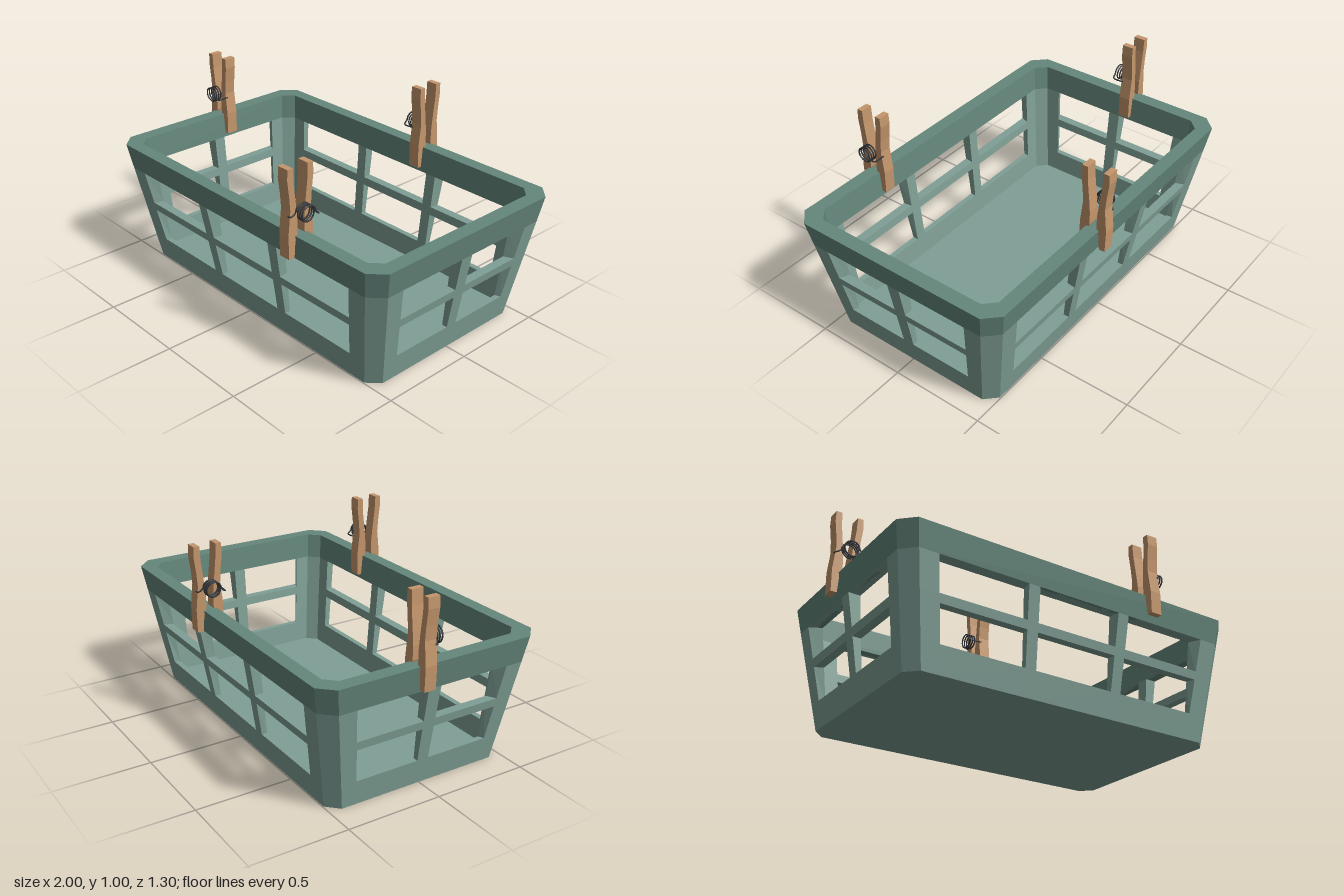
import * as THREE from 'three';

const HEIGHT = 0.67, RIM_Y = 0.535, CENTRE_X = 0.02;
const lerp = THREE.MathUtils.lerp;
const paint = (color) => new THREE.MeshStandardMaterial({ color, flatShading: true });

// Half width, half depth and corner cut of the tapered basket at height y
function section(y, inner) {
  const t = y / HEIGHT;
  return inner
    ? { hx: lerp(0.847, 0.905, t), hz: lerp(0.475, 0.535, t), cut: lerp(0.05, 0.055, t) }
    : { hx: lerp(0.865, 0.98, t), hz: lerp(0.495, 0.607, t), cut: lerp(0.06, 0.073, t) };
}

// Point on side k (0 front, 1 right, 2 back, 3 left); u = -1..1 along it, ±1 at the corner cut
function wallPoint(k, u, y, inner) {
  const { hx, hz, cut } = section(y, inner);
  const half = k % 2 ? hz : hx;
  const a = Math.abs(u) === 1 ? u * (half - cut) : u * half * (inner ? 1.03 : 1);
  const p = [[a, hz], [hx, -a], [-a, -hz], [-hx, a]][k];
  return [p[0] + CENTRE_X, y, p[1]];
}

function ring(y, inner) {
  const points = [];
  for (let k = 0; k < 4; k++) points.push(wallPoint(k, -1, y, inner), wallPoint(k, 1, y, inner));
  return points;
}

const quad = (out, a, b, c, d) => out.push(...a, ...b, ...c, ...a, ...c, ...d);

function meshFrom(name, positions, material) {
  const g = new THREE.BufferGeometry();
  g.setAttribute('position', new THREE.Float32BufferAttribute(positions, 3));
  g.computeVertexNormals();
  const mesh = new THREE.Mesh(g, material);
  mesh.name = name;
  return mesh;
}

// One side wall: every odd row and column is a window opening
function latticeWall(k) {
  const cols = k % 2
    ? [-1, -0.72, -0.06, 0.06, 0.72, 1]
    : [-1, -0.82, -0.313, -0.247, 0.247, 0.313, 0.82, 1];
  const rows = [0, 0.135, 0.315, 0.36, RIM_Y];
  const out = [];
  for (let j = 0; j < rows.length - 1; j++) {
    for (let i = 0; i < cols.length - 1; i++) {
      const corners = [[i, j], [i + 1, j], [i + 1, j + 1], [i, j + 1]];
      const [o, n] = [false, true].map((inner) =>
        corners.map(([c, r]) => wallPoint(k, cols[c], rows[r], inner)));
      if (i % 2 && j % 2) {
        for (let e = 0; e < 4; e++) {
          const f = (e + 1) % 4;
          quad(out, o[e], o[f], n[f], n[e]);
        }
      } else {
        quad(out, ...o);
        quad(out, n[3], n[2], n[1], n[0]);
      }
    }
  }
  return out;
}

// Inner and outer face of a band between two heights, at ring edge i
function bandFaces(out, i, y0, y1) {
  const j = (i + 1) % 8;
  const [o0, o1, n0, n1] = [ring(y0), ring(y1), ring(y0, true), ring(y1, true)];
  quad(out, o0[i], o0[j], o1[j], o1[i]);
  quad(out, n1[i], n1[j], n0[j], n0[i]);
}

function buildBasket() {
  const basket = new THREE.Group();
  basket.name = 'basket';
  const wallPaint = paint(0x7f9f95), rimPaint = paint(0x65877c);

  ['frontWall', 'rightEndWall', 'backWall', 'leftEndWall'].forEach((name, k) =>
    basket.add(meshFrom(name, latticeWall(k), wallPaint)));

  // Cut corner posts
  const posts = [];
  for (let i = 1; i < 8; i += 2) bandFaces(posts, i, 0, RIM_Y);
  basket.add(meshFrom('cornerPosts', posts, wallPaint));

  // Rim band with its top and underside
  const rim = [];
  const [to, tn, bo, bn] = [ring(HEIGHT), ring(HEIGHT, true), ring(RIM_Y), ring(RIM_Y, true)];
  for (let i = 0; i < 8; i++) {
    const j = (i + 1) % 8;
    bandFaces(rim, i, RIM_Y, HEIGHT);
    quad(rim, to[i], to[j], tn[j], tn[i]);
    quad(rim, bn[i], bn[j], bo[j], bo[i]);
  }
  basket.add(meshFrom('rim', rim, rimPaint));

  // Floor, inside and underside
  const floor = [], top = ring(0.02, true), base = ring(0);
  for (let i = 1; i < 7; i++) {
    floor.push(...top[0], ...top[i], ...top[i + 1]);
    floor.push(...base[0], ...base[i + 1], ...base[i]);
  }
  basket.add(meshFrom('floor', floor, wallPaint));
  return basket;
}

// Clothes peg gripping the rim; local +z points out of the basket
function buildPeg(name, x, z, turn) {
  const peg = new THREE.Group();
  peg.name = name;
  const wood = paint(0xc4966c), width = 0.063;
  const profile = [
    [0.04, 0.56], [0.072, 0.56], [0.074, 0.68], [0.061, 0.8], [0.066, 0.87], [0.076, 0.95],
    [0.074, 1.005], [0.043, 1.005], [0.04, 0.93], [0.027, 0.82], [0.02, 0.75], [0.02, 0.68], [0.034, 0.64],
  ];
  for (const side of [1, -1]) {
    const shape = new THREE.Shape(profile.map(([d, y]) => new THREE.Vector2(side * d, y)));
    const g = new THREE.ExtrudeGeometry(shape, { depth: width, bevelEnabled: false });
    g.translate(0, 0, -width / 2).rotateY(-Math.PI / 2);
    const leg = new THREE.Mesh(g, wood);
    leg.name = side > 0 ? 'outerLeg' : 'innerLeg';
    peg.add(leg);
  }

  // Coil spring beside the legs with an arm to each
  const path = [new THREE.Vector3(0.02, 0.775, 0.066), new THREE.Vector3(0.036, 0.775, 0.062)];
  const turns = 3, steps = 36;
  for (let i = 0; i <= steps; i++) {
    const a = (i / steps) * (turns + 0.5) * Math.PI * 2;
    path.push(new THREE.Vector3(0.04 + 0.05 * i / steps, 0.79 + 0.039 * Math.sin(a), 0.039 * Math.cos(a)));
  }
  path.push(new THREE.Vector3(0.085, 0.775, -0.06), new THREE.Vector3(0.02, 0.775, -0.066));
  const wire = new THREE.TubeGeometry(new THREE.CatmullRomCurve3(path), 140, 0.004, 6);
  const spring = new THREE.Mesh(wire, new THREE.MeshStandardMaterial({ color: 0x33363a }));
  spring.name = 'spring';
  peg.add(spring);

  peg.position.set(x, 0, z);
  peg.rotation.y = turn;
  return peg;
}

export function createModel() {
  const model = new THREE.Group();
  model.name = 'basketWithPegs';
  model.add(
    buildBasket(),
    buildPeg('frontPeg', 0.452, 0.572, 0),
    buildPeg('backPeg', 0.173, -0.573, Math.PI),
    buildPeg('endPeg', -0.922, -0.075, -Math.PI / 2),
  );
  return model;
}
